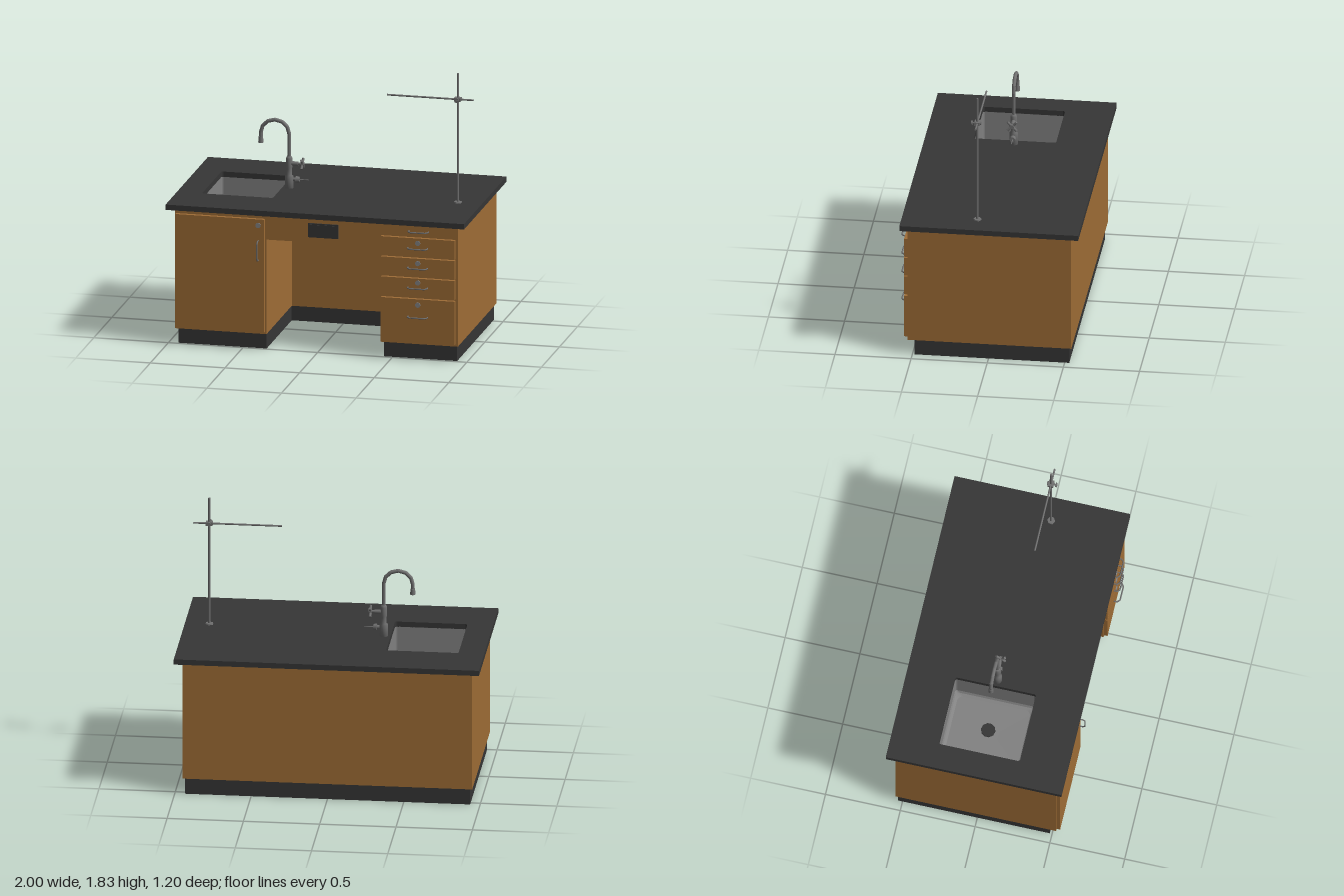
import * as THREE from 'three';

const mat = (name, color, side = THREE.FrontSide) => {
  const m = new THREE.MeshStandardMaterial({ color, side });
  m.name = name;
  return m;
};

export function createModel() {
  const root = new THREE.Group();
  root.name = 'labBench';

  const black = mat('black resin', 0x363636);
  const wood = mat('wood', 0x9f6d36);
  const steel = mat('sink steel', 0x828282, THREE.DoubleSide);
  const metal = mat('dark metal', 0x707070);
  const lockGrey = mat('lock grey', 0x858585);

  const add = (name, geo, material, x = 0, y = 0, z = 0, parent = root) => {
    const m = new THREE.Mesh(geo, material);
    m.name = name;
    m.position.set(x, y, z);
    parent.add(m);
    return m;
  };
  // box given by its limits
  const box = (name, material, x0, x1, y0, y1, z0, z1) =>
    add(name, new THREE.BoxGeometry(x1 - x0, y1 - y0, z1 - z0), material,
      (x0 + x1) / 2, (y0 + y1) / 2, (z0 + z1) / 2);
  // straight round bar between two points
  const bar = (name, a, b, r0, r1 = r0, sides = 12, parent = root, material = metal) => {
    const p = new THREE.Vector3(...a), q = new THREE.Vector3(...b);
    const d = q.clone().sub(p);
    const m = add(name, new THREE.CylinderGeometry(r1, r0, d.length(), sides), material, 0, 0, 0, parent);
    m.position.copy(p).add(q).multiplyScalar(0.5);
    m.quaternion.setFromUnitVectors(new THREE.Vector3(0, 1, 0), d.normalize());
    return m;
  };
  const polygon = pts => pts.map(([x, z]) => new THREE.Vector2(x, z));
  // plan outline in x and z, extruded downwards from yTop
  const slab = (name, material, pts, yTop, height, hole) => {
    const s = new THREE.Shape(polygon(pts));
    if (hole) s.holes.push(new THREE.Path(polygon(hole)));
    const g = new THREE.ExtrudeGeometry(s, { depth: height, bevelEnabled: false });
    g.rotateX(Math.PI / 2);
    return add(name, g, material, 0, yTop, 0);
  };
  const rect = (x0, x1, z0, z1) => [[x0, z0], [x1, z0], [x1, z1], [x0, z1]];
  // rounded rectangle with a fixed number of points
  const roundRect = (cx, cz, hx, hz, r) => {
    const pts = [];
    [[1, 1], [-1, 1], [-1, -1], [1, -1]].forEach(([sx, sz], k) => {
      for (let i = 0; i <= 4; i++) {
        const a = (k + i / 4) * Math.PI / 2;
        pts.push([cx + sx * (hx - r) + r * Math.cos(a), cz + sz * (hz - r) + r * Math.sin(a)]);
      }
    });
    return pts;
  };
  // U-shaped plan around the knee space
  const uPlan = (x0, x1, z0, z1, k0, k1, kz) =>
    [[x0, z0], [x1, z0], [x1, z1], [k1, z1], [k1, kz], [k0, kz], [k0, z1], [x0, z1]];

  const SX = -0.595, SZ = -0.01;

  // plinth, carcass and worktop
  slab('plinth', black, uPlan(-0.935, 0.932, -0.53, 0.485, -0.345, 0.44, -0.21), 0.11, 0.11);
  slab('carcass', wood, uPlan(-0.95, 0.947, -0.545, 0.53, -0.335, 0.43, -0.17), 0.92, 0.81,
    rect(-0.845, -0.345, -0.3, 0.28));
  slab('worktop', black, rect(-1, 1, -0.597, 0.577), 0.956, 0.036,
    roundRect(SX, SZ, 0.237, 0.27, 0.015));
  box('kneeApron', wood, -0.335, 0.43, 0.75, 0.92, 0.5, 0.529);

  // sink basin from stacked rounded loops
  const loops = [
    [0, 0.921, 0.015], [0, 0.72, 0.015], [0.008, 0.702, 0.022], [0.026, 0.692, 0.035], [0.2, 0.69, 0.02],
  ].map(([inset, y, r]) => roundRect(SX, SZ, 0.237 - inset, 0.27 - inset, r).map(([x, z]) => [x, y, z]));
  const verts = [], idx = [], n = loops[0].length;
  loops.forEach(l => l.forEach(p => verts.push(...p)));
  for (let j = 0; j < loops.length - 1; j++)
    for (let i = 0; i < n; i++) {
      const a = j * n + i, b = j * n + (i + 1) % n;
      idx.push(a, a + n, b, b, a + n, b + n);
    }
  const last = (loops.length - 1) * n;
  for (let i = 1; i < n - 1; i++) idx.push(last, last + i + 1, last + i);
  let basin = new THREE.BufferGeometry();
  basin.setAttribute('position', new THREE.Float32BufferAttribute(verts, 3));
  basin.setIndex(idx);
  basin = basin.toNonIndexed();
  basin.computeVertexNormals();
  add('sinkBasin', basin, steel);
  add('sinkDrain', new THREE.CylinderGeometry(0.048, 0.048, 0.008, 10), black, -0.575, 0.695, SZ);

  // bowed pull handle, running along x and standing out in z
  const bow = [[-0.065, 0], [-0.065, 0.022], [-0.048, 0.038], [0.048, 0.038], [0.065, 0.022], [0.065, 0]];
  const pullCurve = new THREE.CatmullRomCurve3(
    bow.map(([x, z]) => new THREE.Vector3(x, 0, z)), false, 'catmullrom', 0.1);
  const pullGeo = new THREE.TubeGeometry(pullCurve, 40, 0.0048, 8);
  const pull = (x, y, z, vertical) => {
    const m = add('pullHandle', pullGeo, metal, x, y, z);
    if (vertical) m.rotation.z = Math.PI / 2;
  };
  const lock = (x, y) => {
    const m = add('lock', new THREE.CylinderGeometry(0.017, 0.017, 0.008, 20), lockGrey, x, y, 0.558);
    m.rotation.x = Math.PI / 2;
  };

  // door
  box('cabinetDoor', wood, -0.94, -0.345, 0.127, 0.89, 0.53, 0.555);
  pull(-0.385, 0.68, 0.555, true);
  lock(-0.385, 0.85);

  // drawers: bottom, top, handle height, lock height
  [[0.703, 0.832, 0.767, 0.8], [0.568, 0.695, 0.634, 0.663],
    [0.432, 0.56, 0.5, 0.532], [0.127, 0.42, 0.302, 0.382]].forEach(([y0, y1, h, l]) => {
    box('drawerFront', wood, 0.437, 0.932, y0, y1, 0.53, 0.555);
    pull(0.685, h, 0.555);
    lock(0.685, l);
  });
  // pull-out board handle above the drawers
  pull(0.685, 0.873, 0.53);

  // socket plate on the apron
  box('socketFrame', black, -0.055, 0.147, 0.787, 0.882, 0.529, 0.537);
  box('socketPlate', black, -0.045, 0.137, 0.796, 0.873, 0.537, 0.541);

  // swan-neck tap
  const tap = new THREE.Group();
  tap.name = 'tap';
  tap.position.set(-0.313, 0, -0.008);
  root.add(tap);
  const body = [[0, 0.956], [0.029, 0.956], [0.029, 1.035], [0.019, 1.04], [0.017, 1.085],
    [0.022, 1.095], [0.022, 1.155], [0.014, 1.17], [0, 1.17]];
  add('tapBody', new THREE.LatheGeometry(polygon(body), 16), metal, 0, 0, 0, tap);
  const neck = [[0, 1.16], [0, 1.32]];
  for (let i = 1; i <= 6; i++) {
    const a = i * Math.PI / 6;
    neck.push([-0.095 + 0.095 * Math.cos(a), 1.32 + 0.09 * Math.sin(a)]);
  }
  neck.push([-0.19, 1.27]);
  for (let i = 0; i < neck.length - 1; i++) {
    bar('tapNeck', [...neck[i], 0], [...neck[i + 1], 0], 0.0125, 0.0125, 10, tap);
    if (i) add('tapNeckJoint', new THREE.SphereGeometry(0.0125, 10, 8), metal, ...neck[i], 0, tap);
  }
  bar('tapNozzle', [-0.19, 1.25, 0], [-0.19, 1.29, 0], 0.018, 0.015, 12, tap);

  // upper valve with a cross handle
  bar('valveStem', [0.015, 1.122, 0], [0.06, 1.122, 0], 0.015, 0.013, 12, tap);
  bar('valveSpindle', [0.06, 1.122, 0], [0.1, 1.122, 0], 0.009, 0.009, 10, tap);
  bar('valveHub', [0.078, 1.122, 0], [0.1, 1.122, 0], 0.016, 0.014, 10, tap);
  for (let i = 0; i < 4; i++) {
    const a = (i + 0.5) * Math.PI / 2, c = Math.cos(a), s = Math.sin(a);
    bar('valveCrossArm', [0.088, 1.122, 0], [0.088, 1.122 + 0.042 * c, 0.042 * s], 0.007, 0.009, 8, tap);
  }
  // lower side outlet
  bar('outletStem', [0.02, 1.015, 0], [0.045, 1.015, 0], 0.012, 0.012, 10, tap);
  bar('outletCollar', [0.045, 1.015, 0], [0.068, 1.015, 0], 0.022, 0.018, 10, tap);
  bar('outletSpout', [0.068, 1.015, 0], [0.128, 1.015, 0], 0.004, 0.003, 8, tap);

  // upright rod with clamp and cross rod
  const RX = 0.84, RZ = 0.085, RY = 1.656;
  bar('standFoot', [RX, 0.956, RZ], [RX, 0.964, RZ], 0.028, 0.026, 6);
  bar('standRod', [RX, 0.96, RZ], [RX, 1.832, RZ], 0.0075);
  bar('crossRod', [0.365, RY, RZ], [0.945, RY, RZ], 0.006);
  box('clampBody', metal, RX - 0.022, RX + 0.022, RY - 0.012, RY + 0.012, RZ - 0.018, RZ + 0.018);
  bar('clampScrew', [RX, RY, RZ - 0.022], [RX, RY, RZ + 0.042], 0.006, 0.006, 8);
  bar('clampKnob', [RX, RY, RZ + 0.03], [RX, RY, RZ + 0.04], 0.016, 0.016, 8);
  bar('clampNut', [RX, RY, RZ - 0.026], [RX, RY, RZ - 0.016], 0.014, 0.014, 6);

  return root;
}
